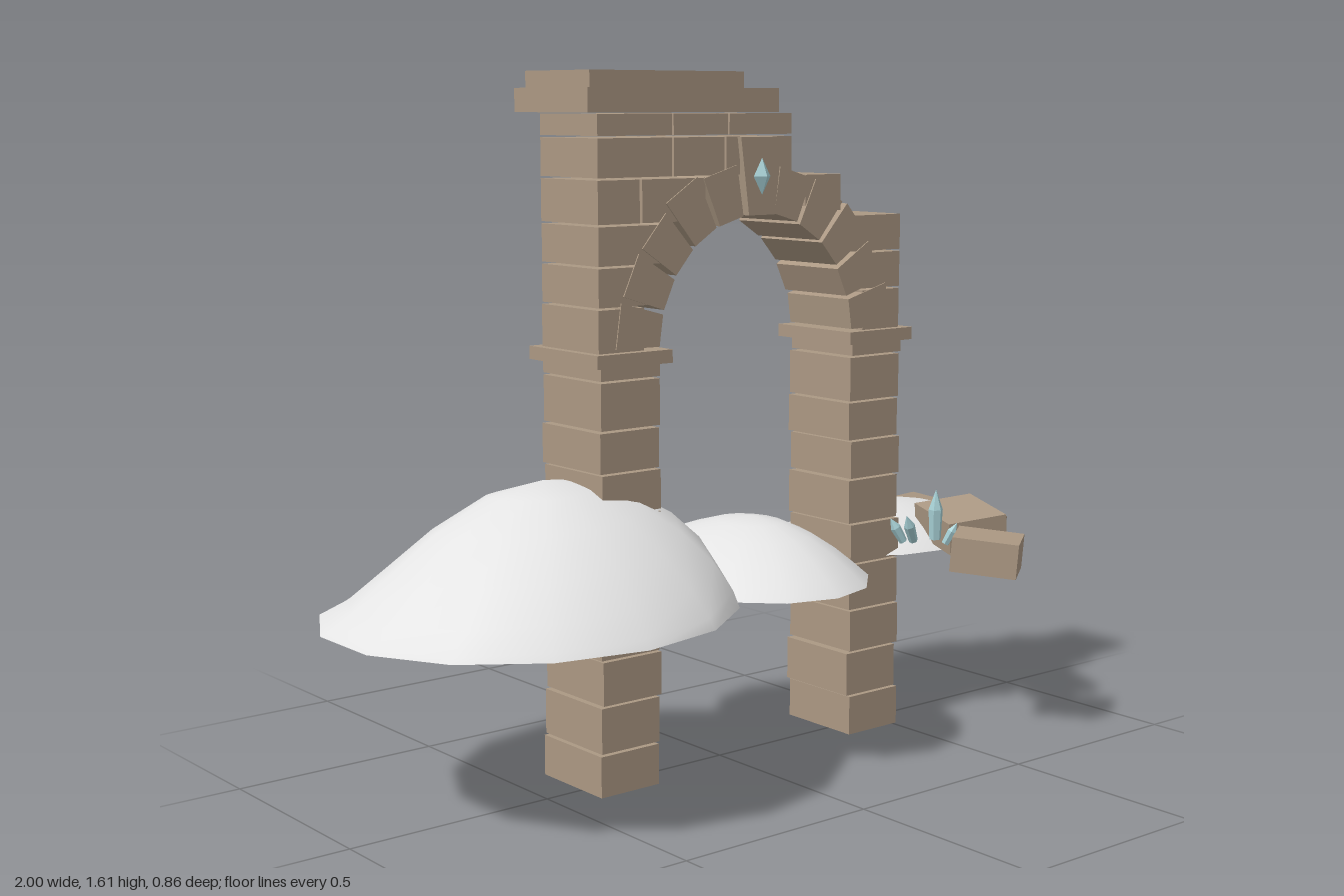
import * as THREE from 'three';

const stone = new THREE.MeshStandardMaterial({ color: 0xab9883, side: THREE.DoubleSide, flatShading: true });
stone.name = 'sandstone';
const snow = new THREE.MeshStandardMaterial({ color: 0xe4e4e4, side: THREE.DoubleSide });
snow.name = 'snow';
const ice = new THREE.MeshStandardMaterial({ color: 0xa6cfd4, flatShading: true });
ice.name = 'paleCrystal';

const ZC = -0.035;            // wall centre in z
const CX = 0.055, CY = 1.0;   // arch centre
const R_IN = 0.29, R_OUT = 0.41;

export function createModel() {
  const root = new THREE.Group();
  root.name = 'ruinedArch';
  let seed = 7;
  const jitter = (a) => {
    seed = (seed * 16807) % 2147483647;
    return (seed / 2147483647 - 0.5) * 2 * a;
  };
  const group = (name) => {
    const g = new THREE.Group();
    g.name = name;
    root.add(g);
    return g;
  };
  const add = (parent, name, geo, mat) => {
    const m = new THREE.Mesh(geo, mat);
    m.name = name;
    parent.add(m);
    return m;
  };
  // Block given by its x and y limits and its depth; open blocks have no underside
  const block = (parent, name, x0, x1, y0, y1, depth, open = false) => {
    const geo = new THREE.BoxGeometry(x1 - x0, y1 - y0, depth);
    if (open) {
      const idx = Array.from(geo.index.array);
      idx.splice(18, 6);
      geo.setIndex(idx);
      geo.clearGroups();
    }
    add(parent, name, geo, stone).position.set((x0 + x1) / 2, (y0 + y1) / 2, ZC);
  };

  // Pillars of stacked courses with a projecting impost
  const courses = [0, 0.1, 0.21, 0.315, 0.43, 0.53, 0.64, 0.735, 0.83, 0.94, 0.972];
  for (const [name, x0, x1] of [['rightPillar', -0.398, -0.236], ['leftPillar', 0.346, 0.506]]) {
    const g = group(name);
    for (let i = 0; i < courses.length - 1; i++) {
      const j = jitter(0.006);
      block(g, 'course', x0 + j, x1 + j, courses[i], courses[i + 1] - 0.005, 0.22 + jitter(0.002), i === 0);
    }
    block(g, 'impost', x0 - 0.021, x1 + 0.023, 0.97, 1.0, 0.26);
  }

  // Arch ring of wedge stones
  const wedge = (parent, name, a0, a1, r0, r1, depth) => {
    const pt = (a, r) => new THREE.Vector2(CX + Math.cos(a) * r, CY + Math.sin(a) * r);
    const shape = new THREE.Shape([pt(a0, r0), pt(a0, r1), pt(a1, r1), pt(a1, r0)]);
    const geo = new THREE.ExtrudeGeometry(shape, { depth, bevelEnabled: false });
    geo.translate(0, 0, ZC - depth / 2);
    add(parent, name, geo, stone);
  };
  const arch = group('arch');
  const N = 11, step = Math.PI / N;
  for (let i = 0; i < N; i++) {
    if (i === 5) continue;
    wedge(arch, 'archStone', i * step + 0.018, (i + 1) * step - 0.018, R_IN + jitter(0.003), R_OUT + jitter(0.01), 0.22);
  }
  wedge(arch, 'keystone', 5 * step + 0.01, 6 * step - 0.01, R_IN, 0.468, 0.24);
  for (const side of [-1, 1]) {
    const gem = add(arch, 'keystoneGem', new THREE.OctahedronGeometry(1), ice);
    gem.scale.set(0.025, 0.042, 0.018);
    gem.position.set(CX, 1.375, ZC + side * 0.12);
  }

  // Masonry filling between pillars and arch
  const wall = group('upperWall');
  const rows = [1.0, 1.1, 1.19, 1.28];
  for (let i = 0; i < 3; i++) {
    const reach = Math.sqrt(0.33 ** 2 - (rows[i] - CY) ** 2);
    const j = jitter(0.003);
    block(wall, 'rightSpandrelStone', -0.398 + j, CX - reach, rows[i], rows[i + 1] - 0.005, 0.214);
    block(wall, 'leftSpandrelStone', CX + reach, 0.506 + j, rows[i], rows[i + 1] - 0.005, 0.214);
  }
  const stones = [
    [-0.398, -0.285, 1.28, 1.375], [-0.278, -0.1, 1.28, 1.375], [0.2, 0.31, 1.29, 1.375],
    [-0.398, -0.195, 1.38, 1.465], [-0.19, -0.045, 1.38, 1.465], [-0.04, 0.0, 1.38, 1.465], [0.11, 0.155, 1.38, 1.465],
    [-0.398, -0.195, 1.47, 1.517], [-0.19, -0.035, 1.47, 1.517], [-0.03, 0.155, 1.47, 1.517],
  ];
  for (const [x0, x1, y0, y1] of stones) block(wall, 'wallStone', x0, x1, y0, y1, 0.214);
  block(wall, 'cornice', -0.445, 0.09, 1.52, 1.573, 0.275, true);
  block(wall, 'copingSlab', -0.427, 0, 1.573, 1.61, 0.24);

  // Snow drifts: open domes with a shifted peak; p sets how full each flank is (+x, -x, +z, -z)
  const drift = (cx, cz, rx, rz, px, pz, h, p) => {
    const seg = 14, rings = 6, pos = [], idx = [];
    for (let k = 0; k < rings; k++) {
      const r = Math.cos((k / rings) * Math.PI / 2);
      for (let i = 0; i < seg; i++) {
        const a = ((i + 0.5) / seg) * Math.PI * 2, c = Math.cos(a), s = Math.sin(a);
        const pw = c * c * (c > 0 ? p[0] : p[1]) + s * s * (s > 0 ? p[2] : p[3]);
        pos.push(px + (cx + c * rx - px) * r, 0.435 + h * Math.pow(1 - r * r, pw), pz + (cz + s * rz - pz) * r);
        const b = k * seg + i, n = k * seg + (i + 1) % seg;
        if (k < rings - 1) idx.push(b, b + seg, n, n, b + seg, n + seg);
        else idx.push(b, rings * seg, n);
      }
    }
    pos.push(px, 0.435 + h, pz);
    const geo = new THREE.BufferGeometry();
    geo.setAttribute('position', new THREE.Float32BufferAttribute(pos, 3));
    geo.setIndex(idx);
    geo.computeVertexNormals();
    add(root, 'snowDrift', geo, snow);
  };
  drift(-0.533, -0.005, 0.479, 0.43, -0.45, -0.07, 0.275, [0.55, 1.35, 1, 1.8]);
  drift(0.07, -0.015, 0.28, 0.35, 0.12, -0.02, 0.13, [1.1, 1, 1, 1]);
  drift(0.66, -0.13, 0.345, 0.255, 0.64, -0.13, 0.09, [1, 1, 1, 1]);

  // Fallen blocks
  const rubble = group('fallenBlocks');
  for (const [size, at, rx, ry, rz] of [
    [[0.16, 0.085, 0.13], [0.585, 0.465, 0.307], 0.02, -0.93, -0.08],
    [[0.155, 0.08, 0.205], [0.68, 0.495, 0.125], 0.08, -0.355, 0.1],
    [[0.276, 0.05, 0.22], [0.845, 0.457, -0.1], -0.07, -1.19, -0.15],
  ]) {
    const m = add(rubble, 'fallenBlock', new THREE.BoxGeometry(...size), stone);
    m.position.set(...at);
    m.rotation.set(rx, ry, rz, 'YXZ');
  }

  // Small pointed crystals: x, y, z, radius, height, tilt x, tilt z
  const crystals = group('crystals');
  for (const [x, y, z, r, h, tx, tz] of [
    [0.55, 0.48, 0.165, 0.018, 0.125, 0.03, 0.02], [0.53, 0.47, 0.11, 0.014, 0.08, 0.2, 0.5],
    [0.505, 0.47, 0.1, 0.013, 0.07, -0.2, 0.5], [0.565, 0.47, 0.185, 0.012, 0.06, 0.4, -0.3],
    [-0.51, 0.425, -0.19, 0.018, 0.12, 0, 0], [-0.55, 0.43, -0.26, 0.011, 0.08, -0.2, 0.2],
  ]) {
    const profile = [[0, 0], [r * 0.8, 0], [r, h * 0.6], [0, h]].map(([a, b]) => new THREE.Vector2(a, b));
    const m = add(crystals, 'crystal', new THREE.LatheGeometry(profile, 6), ice);
    m.position.set(x, y, z);
    m.rotation.set(tx, 0, tz);
  }
  return root;
}
